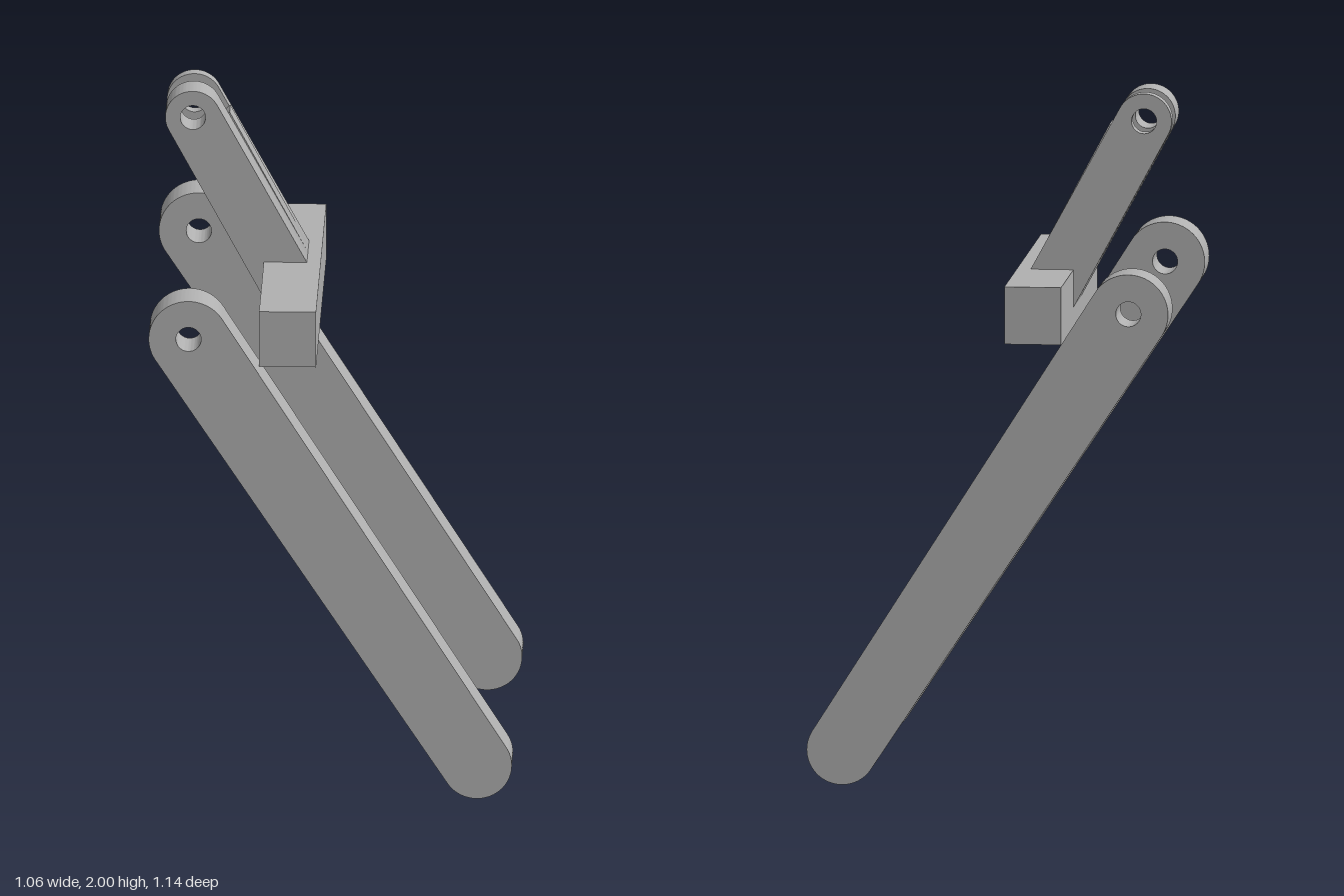
import * as THREE from 'three';
import { toCreasedNormals } from 'three/addons/utils/BufferGeometryUtils.js';

const HOLE_RADIUS = 0.037;

// Extrude a side profile between two depths, keeping round ends smooth
function plate(name, shape, z0, z1, material) {
  const geo = new THREE.ExtrudeGeometry(shape, { depth: z1 - z0, bevelEnabled: false, curveSegments: 32 });
  geo.translate(0, 0, z0);
  const mesh = new THREE.Mesh(toCreasedNormals(geo, 0.5), material);
  mesh.name = name;
  return mesh;
}

function drill(shape, x, y) {
  shape.holes.push(new THREE.Path().absarc(x, y, HOLE_RADIUS, 0, Math.PI * 2, true));
  return shape;
}

// Tapered bar with two round ends and a pivot hole at the top
function legShape() {
  const [x1, y1, r1] = [-0.417, 1.409, 0.117];
  const [x2, y2, r2] = [0.428, 0.103, 0.103];
  const a = Math.atan2(y1 - y2, x1 - x2);
  const b = Math.acos((r2 - r1) / Math.hypot(x1 - x2, y1 - y2));
  const s = new THREE.Shape();
  s.absarc(x1, y1, r1, a - b, a + b, false);
  s.absarc(x2, y2, r2, a + b, a - b + Math.PI * 2, false);
  s.closePath();
  return drill(s, x1, y1);
}

// Lever outline with a round drilled top; its foot ends inside the crossbar
function cheekShape() {
  const [x, y, r] = [-0.42, 1.919, 0.081];
  const n = Math.atan2(0.47, 0.88);
  const s = new THREE.Shape();
  s.moveTo(-0.19, 1.32);
  s.lineTo(-0.085, 1.40);
  s.lineTo(-0.085, 1.474);
  s.absarc(x, y, r, n, n + Math.PI, false);
  s.lineTo(-0.208, 1.356);
  s.closePath();
  return drill(s, x, y);
}

// Middle layer of the lever, cut short to leave the slot
function coreShape() {
  return new THREE.Shape([
    [-0.19, 1.32], [-0.085, 1.40], [-0.085, 1.474],
    [-0.315, 1.905], [-0.44, 1.785], [-0.208, 1.356],
  ].map(([x, y]) => new THREE.Vector2(x, y)));
}

export function createModel() {
  const group = new THREE.Group();
  group.name = 'leverFrame';
  const grey = new THREE.MeshStandardMaterial({ color: 0xb0b0b0 });
  grey.name = 'grey';

  // Pair of legs
  group.add(plate('frontLeg', legShape(), 0.446, 0.571, grey));
  group.add(plate('backLeg', legShape(), -0.571, -0.446, grey));

  // Crossbar between the legs
  const bar = new THREE.Mesh(new THREE.BoxGeometry(0.167, 0.17, 1.014), grey);
  bar.position.set(-0.1285, 1.39, -0.002);
  bar.name = 'crossbar';
  group.add(bar);

  // Forked lever rising from the crossbar
  const lever = new THREE.Group();
  lever.name = 'forkedLever';
  lever.add(plate('thickCheek', cheekShape(), -0.057, 0.041, grey));
  lever.add(plate('leverCore', coreShape(), -0.125, -0.057, grey));
  lever.add(plate('thinCheek', cheekShape(), -0.164, -0.125, grey));
  group.add(lever);
  return group;
}
